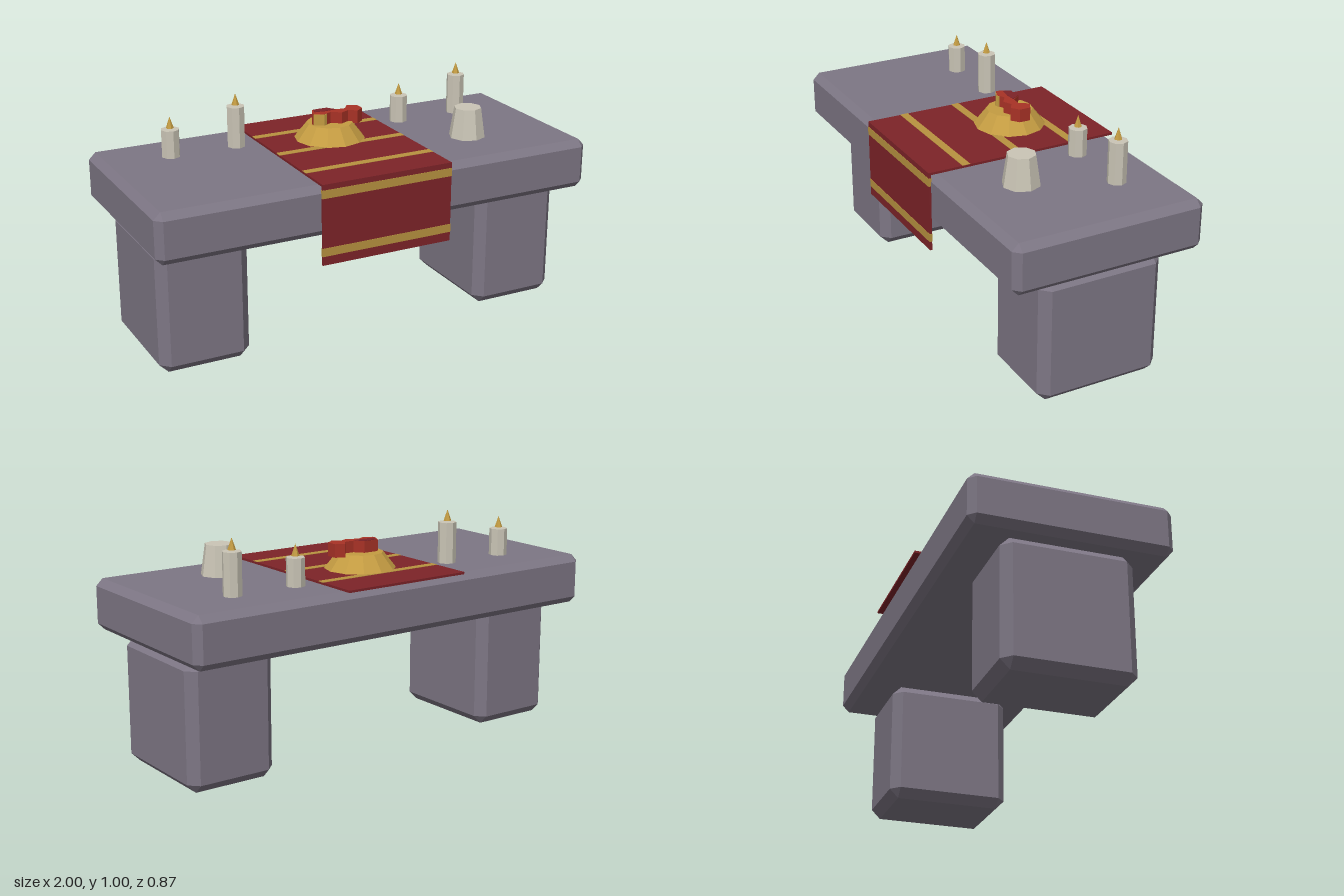
import * as THREE from 'three';
import { ConvexGeometry } from 'three/addons/geometries/ConvexGeometry.js';

const mat = (name, color) => {
  const m = new THREE.MeshStandardMaterial({ color, flatShading: true });
  m.name = name;
  return m;
};

// Box with flat chamfers along every edge
function chamferBox(w, h, d, b) {
  const pts = [];
  for (const x of [-1, 1]) for (const y of [-1, 1]) for (const z of [-1, 1]) {
    const X = x * w / 2, Y = y * h / 2, Z = z * d / 2;
    pts.push(
      new THREE.Vector3(X, Y - y * b, Z - z * b),
      new THREE.Vector3(X - x * b, Y, Z - z * b),
      new THREE.Vector3(X - x * b, Y - y * b, Z));
  }
  return new ConvexGeometry(pts);
}

export function createModel() {
  const root = new THREE.Group();
  root.name = 'altar';
  const stone = mat('stone', 0x7d7684);
  const cloth = mat('redCloth', 0x7d2328);
  const trim = mat('goldTrim', 0xb8923f);
  const gold = mat('gold', 0xc49c42);
  const red = mat('brightRed', 0xa83226);
  const wax = mat('wax', 0xcac5b6);

  const add = (name, geo, material, x, y, z, parent = root) => {
    const m = new THREE.Mesh(geo, material);
    m.name = name;
    m.position.set(x, y, z);
    parent.add(m);
    return m;
  };
  const box = (w, h, d) => new THREE.BoxGeometry(w, h, d);

  // Stone table
  add('slab', chamferBox(2, 0.22, 0.85, 0.03), stone, 0, 0.66, 0);
  for (const s of [-1, 1])
    add(s > 0 ? 'leftLeg' : 'rightLeg', chamferBox(0.4, 0.55, 0.55, 0.04), stone, s * 0.75, 0.275, 0);

  // Cloth runner and its hanging front
  add('runnerTop', box(0.6, 0.01, 0.87), cloth, 0, 0.775, 0);
  add('runnerDrop', box(0.6, 0.35, 0.01), cloth, 0, 0.605, 0.43);
  for (const z of [-0.238, 0.014, 0.264])
    add('topStripe', box(0.6, 0.003, 0.036), trim, 0, 0.78, z);
  for (const y of [0.738, 0.487])
    add('dropStripe', box(0.602, 0.036, 0.013), trim, 0, y, 0.43);

  // Gold dish with a wavy offering on top
  add('dish', new THREE.CylinderGeometry(0.1, 0.155, 0.07, 12), gold, 0, 0.815, -0.1);
  const outline = [
    [-0.085, -0.1], [-0.065, -0.14], [0.005, -0.14], [0.035, -0.102], [0.075, -0.1],
    [0.105, -0.14], [0.145, -0.12], [0.145, -0.07], [0.11, -0.045], [0.075, -0.068],
    [0.035, -0.05], [-0.005, -0.078], [-0.045, -0.06], [-0.085, -0.08]];
  const extrude = (pts, depth) => {
    const shape = new THREE.Shape(pts.map(([x, z]) => new THREE.Vector2(x, -z)));
    return new THREE.ExtrudeGeometry(shape, { depth, bevelEnabled: false }).rotateX(-Math.PI / 2);
  };
  add('offering', extrude(outline, 0.058), red, 0, 0.842, 0);
  add('offeringDarkPatch', extrude(
    [[-0.07, -0.105], [-0.06, -0.138], [0.004, -0.138], [0.03, -0.102], [-0.02, -0.098]], 0.002),
  cloth, 0, 0.9, 0);
  // Gilded facet on the front corner of the offering
  add('offeringGilt', extrude(
    [[-0.086, -0.082], [-0.045, -0.063], [-0.03, -0.068], [-0.03, -0.063], [-0.045, -0.057], [-0.086, -0.077]], 0.05),
  gold, 0, 0.849, 0);

  // Candles, alternating tall and short
  for (const [x, h] of [[-0.7, 0.12], [-0.4, 0.18], [0.4, 0.12], [0.7, 0.18]]) {
    const candle = new THREE.Group();
    candle.name = 'candle';
    candle.position.set(x, 0.77, -0.2);
    root.add(candle);
    add('candleBody', new THREE.CylinderGeometry(0.04, 0.04, h, 8), wax, 0, h / 2, 0, candle);
    add('flame', new THREE.ConeGeometry(0.017, 0.05, 6), gold, 0, h + 0.03, 0, candle);
  }

  // Upturned cup
  add('cup', new THREE.CylinderGeometry(0.06, 0.08, 0.132, 8), wax, 0.55, 0.842, 0.15);
  return root;
}
